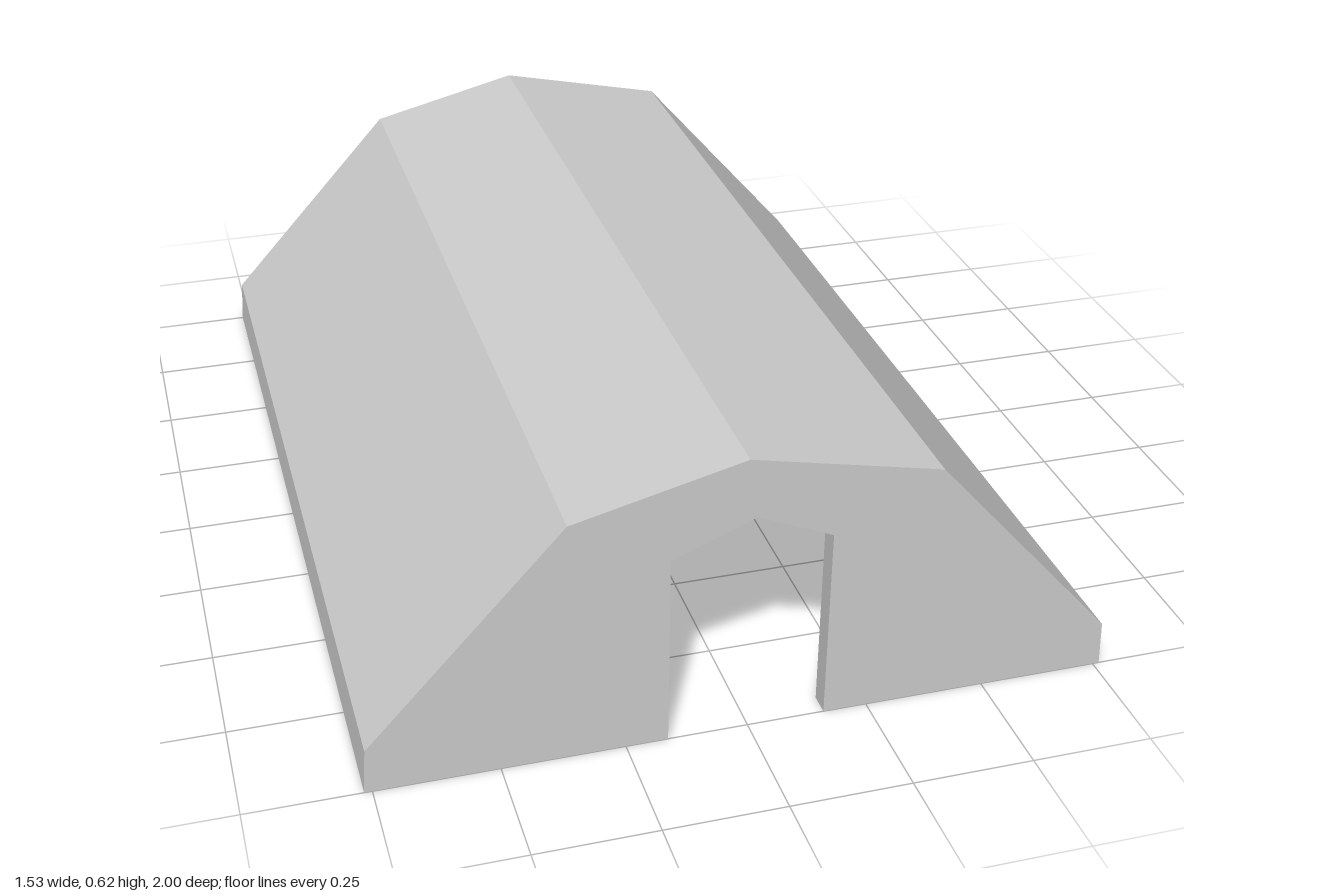
import * as THREE from 'three';

const WALL = 0.045, HALF = 1;

// Cross-sections in x, y, counter-clockwise from the +x base corner
const OUTER = [[0.764, 0], [0.76, 0.098], [0.379, 0.533], [-0.014, 0.619], [-0.363, 0.533], [-0.76, 0.098], [-0.766, 0]];
const INNER = [[0.719, 0], [0.716, 0.079], [0.354, 0.493], [-0.014, 0.573], [-0.338, 0.493], [-0.716, 0.079], [-0.721, 0]];
const DOOR = [[0.16, 0], [0.16, 0.422], [0.006, 0.49], [-0.164, 0.422], [-0.164, 0]];

export function createModel() {
  const group = new THREE.Group();
  const material = new THREE.MeshStandardMaterial({ color: 0xcccccc, flatShading: true });

  // Extrudes a cross-section from z0 to z1
  function addSection(name, points, z0, z1) {
    const shape = new THREE.Shape(points.map(([x, y]) => new THREE.Vector2(x, y)));
    const geometry = new THREE.ExtrudeGeometry(shape, { depth: z1 - z0, bevelEnabled: false });
    geometry.translate(0, 0, z0);
    const mesh = new THREE.Mesh(geometry, material);
    mesh.name = name;
    group.add(mesh);
  }

  // Hollow roof and low side walls, open underneath
  addSection('roofShell', [...OUTER, ...[...INNER].reverse()], -HALF + WALL, HALF - WALL);

  // Front wall with a pointed doorway cut up from the ground
  addSection('frontWall', [...OUTER, ...[...DOOR].reverse()], HALF - WALL, HALF);

  // Closed back wall
  addSection('backWall', OUTER, -HALF, -HALF + WALL);

  return group;
}
